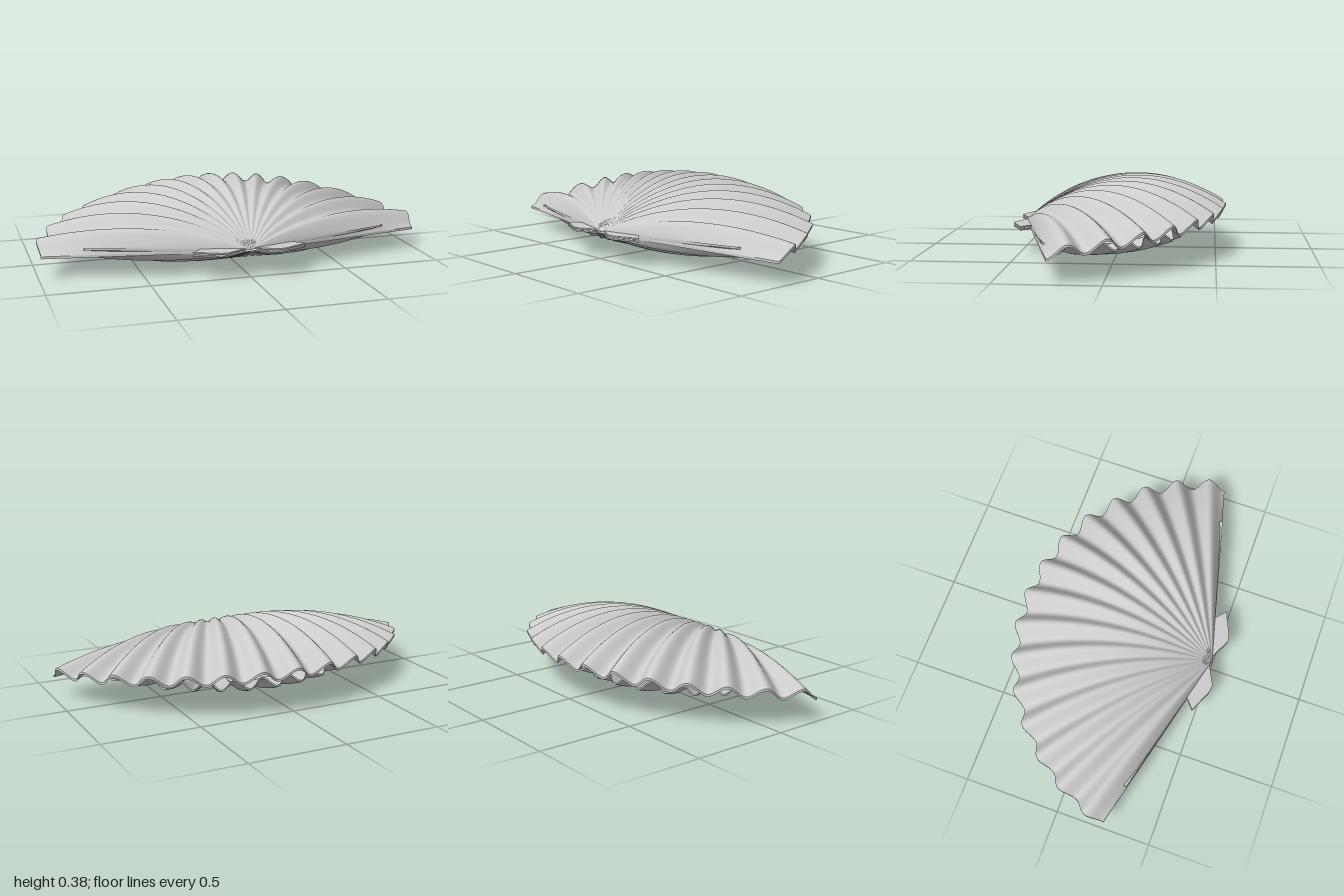
import * as THREE from 'three';
import { mergeGeometries } from 'three/addons/utils/BufferGeometryUtils.js';

const FAN = THREE.MathUtils.degToRad(75.8); // half angle of the fan
const RIBS = 15;
const HINGE_Z = 0.5;

// Surface from a rule fn(u, v) -> Vector3, with u and v in 0..1
function grid(fn, nu, nv, flip) {
  const pos = [], idx = [];
  for (let j = 0; j <= nv; j++)
    for (let i = 0; i <= nu; i++) pos.push(...fn(i / nu, j / nv).toArray());
  for (let j = 0; j < nv; j++)
    for (let i = 0; i < nu; i++) {
      const a = j * (nu + 1) + i, b = a + 1, d = a + nu + 1, c = d + 1;
      idx.push(...(flip ? [a, c, b, a, d, c] : [a, b, c, a, c, d]));
    }
  const g = new THREE.BufferGeometry();
  g.setAttribute('position', new THREE.Float32BufferAttribute(pos, 3));
  g.setIndex(idx);
  g.computeVertexNormals();
  return g;
}

// One ribbed, domed half of the shell; dir is +1 for upper, -1 for lower
function valve({ dir, radius, dome, rib, tilt, droop, baseY, wall }) {
  const point = (u, s, inner) => {
    const t = 2 * u - 1, a = t * FAN;
    const wave = Math.cos(a * RIBS * Math.PI / FAN);
    const r = s * radius * (1 + 0.017 * wave);
    const height = 4 * dome * s * (1 - s) * Math.sqrt(Math.max(0, 1 - t * t))
      + tilt * s * Math.cos(a) + rib * s * wave - droop * s * t ** 4
      - (inner ? wall * Math.min(1, s * 6) : 0);
    return new THREE.Vector3(r * Math.sin(a), baseY + dir * height, HINGE_Z - r * Math.cos(a));
  };
  // Border path: out along one straight side, round the scalloped rim, back in
  const border = (p, q) => {
    if (p < 0.1) return point(0, p * 10, q > 0.5);
    if (p > 0.9) return point(1, (1 - p) * 10, q > 0.5);
    return point((p - 0.1) / 0.8, 1, q > 0.5);
  };
  const down = dir < 0;
  return mergeGeometries([
    grid((u, s) => point(u, s, false), 240, 28, down),
    grid((u, s) => point(u, s, true), 240, 28, !down),
    grid(border, 300, 1, down),
  ]);
}

// Flat hinge ear on the +x side
function earGeometry() {
  const outline = [[0.02, 0.49], [0.13, 0.545], [0.165, 0.54], [0.29, 0.485], [0.225, 0.43]];
  const shape = new THREE.Shape(outline.map(([x, z]) => new THREE.Vector2(x, -z)));
  const g = new THREE.ExtrudeGeometry(shape, { depth: 0.007, bevelEnabled: false });
  return g.rotateX(-Math.PI / 2);
}

export function createModel() {
  const group = new THREE.Group();
  const material = new THREE.MeshStandardMaterial({ color: 0xcccccc, side: THREE.DoubleSide });
  const add = (name, geometry) => {
    const mesh = new THREE.Mesh(geometry, material);
    mesh.name = name;
    group.add(mesh);
    return mesh;
  };

  // Two shell halves, opening towards the back
  add('upperShell', valve({
    dir: 1, radius: 1.035, dome: 0.19, rib: 0.028, tilt: 0.07, droop: 0.015, baseY: 0.145, wall: 0.012,
  }));
  add('lowerShell', valve({
    dir: -1, radius: 0.823, dome: 0.102, rib: 0.022, tilt: 0.03, droop: 0, baseY: 0.135, wall: 0.01,
  }));

  // Paired ears beside the hinge, one for each shell half
  const ear = earGeometry();
  for (const [side, angle] of [['left', 0], ['right', Math.PI]])
    for (const [level, y] of [['Upper', 0.143], ['Lower', 0.13]]) {
      const mesh = add(`${side}${level}Ear`, ear);
      mesh.position.y = y;
      if (angle) mesh.scale.x = -1;
    }
  return group;
}
